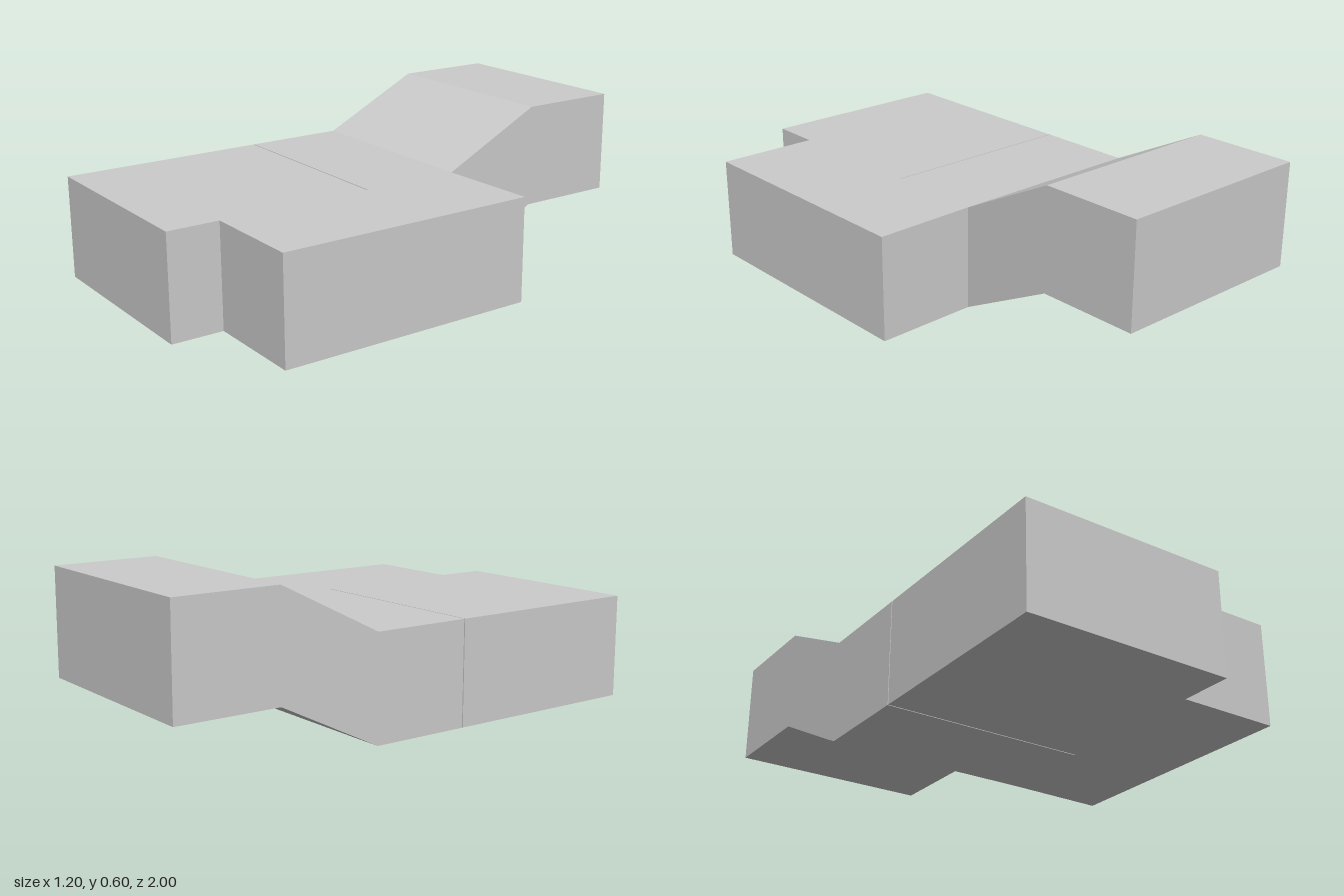
import * as THREE from 'three';

const material = new THREE.MeshStandardMaterial({ color: 0xcccccc, flatShading: true });

// Extrudes a closed outline of [x, y] points without bevels.
function prism(points, depth) {
  const shape = new THREE.Shape(points.map(([x, y]) => new THREE.Vector2(x, y)));
  return new THREE.ExtrudeGeometry(shape, { depth, bevelEnabled: false });
}

function part(name, geometry) {
  const mesh = new THREE.Mesh(geometry, material);
  mesh.name = name;
  return mesh;
}

export function createModel() {
  const group = new THREE.Group();
  group.name = 'steppedBlock';

  // Flat slab with a side wing and a hairline slot, outlined in plan as [x, z]
  const plan = [
    [-0.6, 1], [0.2, 1], [0.2, 0.8], [0.6, 0.8], [0.6, -0.21], [0.2, -0.2],
    [-0.6, -0.2], [-0.6, 0.19], [0.2, 0.19], [0.2, 0.194], [-0.6, 0.194],
  ];
  const slab = prism(plan.map(([x, z]) => [x, -z]), 0.4);
  slab.rotateX(-Math.PI / 2);
  group.add(part('slab', slab));

  // Sloped ramp and raised end, outlined from the side as [z, y]
  const ramp = prism([
    [-0.2, 0], [-0.2, 0.4], [-0.6, 0.6], [-1, 0.6], [-1, 0.2], [-0.6, 0.2],
  ], 0.8);
  ramp.rotateY(-Math.PI / 2);
  ramp.translate(0.2, 0, 0);
  group.add(part('raisedRamp', ramp));

  return group;
}
